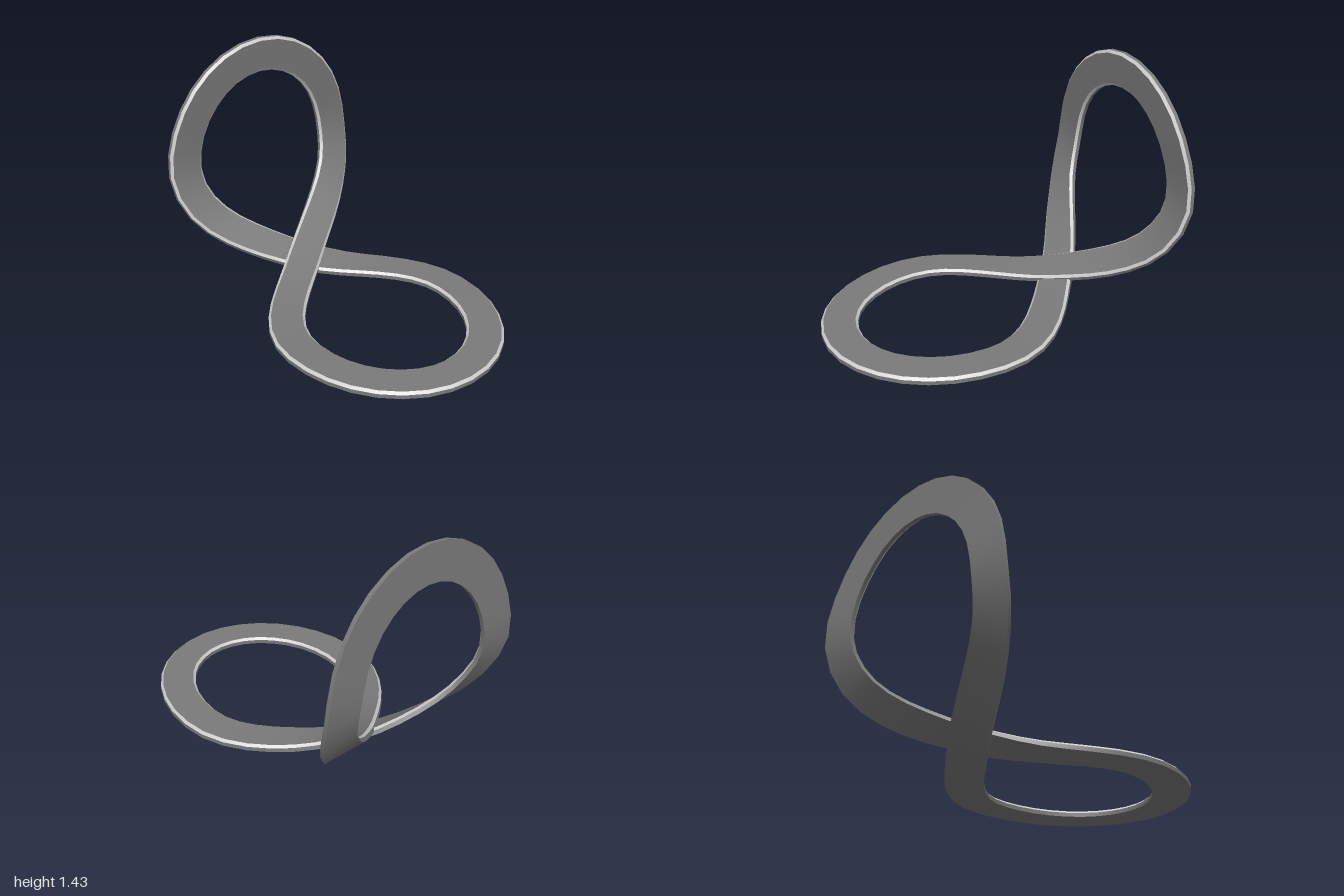
import * as THREE from 'three';

// Side profile that the flat figure-eight is bent along (outer face), from the flat tip to the raised tip
const profile = new THREE.CatmullRomCurve3([
  [1, 0.01], [0.4, 0.01], [-0.2, 0.01], [-0.4, 0.035], [-0.6, 0.115], [-0.75, 0.225],
  [-0.855, 0.34], [-0.925, 0.465], [-0.98, 0.61], [-1, 0.745], [-0.984, 1.09], [-0.968, 1.433],
].map(([x, y]) => new THREE.Vector3(x, y, 0)), false, 'centripetal');
profile.arcLengthDivisions = 1000;
const L = profile.getLength();
const HALF_WIDTH = 0.108;

// Map unrolled coordinates (p along, z across, h above the face) onto the bent sheet
function bend(p, z, h) {
  const t = THREE.MathUtils.clamp((L / 2 - p) / L, 0, 1);
  const c = profile.getPointAt(t), d = profile.getTangentAt(t);
  return [c.x + d.y * h, c.y - d.x * h, z];
}

// Flat centreline of the figure-eight: one quarter, mirrored into four
function figureEight(n) {
  const tip = L / 2 - HALF_WIDTH, wide = 0.78, half = 0.56;
  const arm = new THREE.CubicBezierCurve(
    new THREE.Vector2(0, 0), new THREE.Vector2(0.27, 0.28),
    new THREE.Vector2(0.45, half), new THREE.Vector2(wide, half));
  const quarter = arm.getSpacedPoints(n);
  for (let i = 1; i <= n; i++) {
    const a = (i / n) * Math.PI / 2;
    quarter.push(new THREE.Vector2(wide + (tip - wide) * Math.sin(a), half * Math.cos(a)));
  }
  const back = quarter.slice().reverse();
  const mirror = (list, sx, sz) => list.slice(0, -1).map(q => new THREE.Vector2(q.x * sx, q.y * sz));
  return [...mirror(quarter, 1, 1), ...mirror(back, 1, -1), ...mirror(quarter, -1, 1), ...mirror(back, -1, -1)];
}

// Band section: flat underside, short sides, chamfered upper edges
const section = [
  [-HALF_WIDTH, 0], [HALF_WIDTH, 0], [HALF_WIDTH, 0.024],
  [HALF_WIDTH - 0.015, 0.038], [0.015 - HALF_WIDTH, 0.038], [-HALF_WIDTH, 0.024],
];

// The section carried along the path
function makeRings() {
  const path = figureEight(8), count = path.length;
  return path.map((q, i) => {
    const t = path[(i + 1) % count].clone().sub(path[(i + count - 1) % count]).normalize();
    // One strand passes over the other at the crossing
    const over = i < count / 4 || i > count * 3 / 4;
    const lift = (over ? 0.012 : -0.012) * Math.exp(-((q.x / 0.25) ** 2));
    return section.map(([w, h]) => bend(q.x - t.y * w, q.y + t.x * w, h + lift));
  });
}

// Chosen sides of the section, each as its own strip so the edges stay sharp
function stripMesh(name, rings, sides, color) {
  const positions = [], index = [];
  sides.forEach(k => {
    const start = positions.length / 3;
    rings.forEach((ring, i) => {
      positions.push(...ring[k], ...ring[(k + 1) % section.length]);
      const a = start + 2 * i, b = start + 2 * ((i + 1) % rings.length);
      index.push(a, b, b + 1, a, b + 1, a + 1);
    });
  });
  const geometry = new THREE.BufferGeometry();
  geometry.setAttribute('position', new THREE.Float32BufferAttribute(positions, 3));
  geometry.setIndex(index);
  geometry.computeVertexNormals();
  const mesh = new THREE.Mesh(geometry, new THREE.MeshStandardMaterial({ color }));
  mesh.name = name;
  return mesh;
}

export function createModel() {
  const group = new THREE.Group();
  group.name = 'foldedLoop';
  const rings = makeRings();
  group.add(
    stripMesh('figureEightBand', rings, [0, 1, 3, 5], 0x7a7a7a),
    stripMesh('chamferedEdges', rings, [2, 4], 0xcccccc));
  return group;
}
